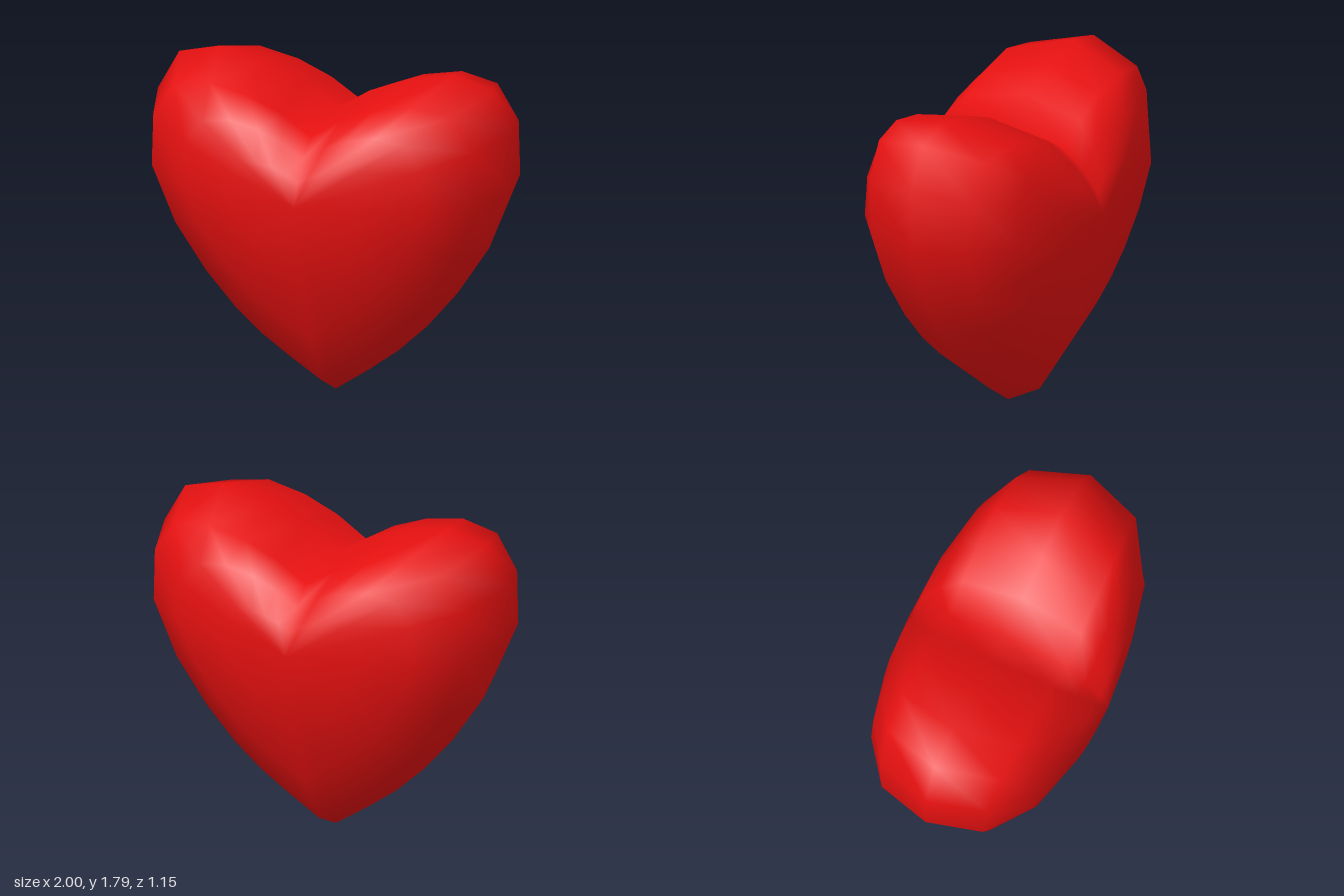
import * as THREE from 'three';

// Right half of the rim outline, from the cleft clockwise to the tip
const HALF = [
  [0, 1.53], [0.19, 1.65], [0.41, 1.74], [0.66, 1.79], [0.88, 1.735], [1, 1.52], [0.995, 1.2],
  [0.86, 0.87], [0.68, 0.6], [0.51, 0.4], [0.35, 0.25], [0.19, 0.13], [0, 0],
];
const CENTRE_Y = 1.15;
const DEPTH = 0.575;

// Cross-sections as [scale towards the rim, depth], from the inner ring to the rim
const LOBE = [[0.33, 0.535], [0.62, 0.45], [0.86, 0.34], [1, 0]];
const SIDE = [[0.41, 0.525], [0.69, 0.46], [0.92, 0.29], [1, 0]];
const TIP = [[0.33, 0.515], [0.66, 0.37], [0.913, 0.19], [1, 0]];

// Blend the cross-sections around the outline: lobe, then side, then tip
function section(k, ring) {
  const [from, to, t] = k <= 6
    ? [LOBE, SIDE, Math.max(0, (k - 3) / 3)]
    : [SIDE, TIP, (k - 6) / 6];
  return [0, 1].map((i) => THREE.MathUtils.lerp(from[ring][i], to[ring][i], t));
}

function heartGeometry() {
  const count = 2 * (HALF.length - 1);
  const positions = [0, CENTRE_Y, DEPTH];
  const index = [];

  // Rings from the front centre, over the rim, to the back centre
  const rings = [[0, 1], [1, 1], [2, 1], [3, 1], [2, -1], [1, -1], [0, -1]];
  for (const [ring, zSign] of rings) {
    for (let j = 0; j < count; j++) {
      const k = j < HALF.length ? j : count - j;
      const xSign = j < HALF.length ? 1 : -1;
      const [s, z] = section(k, ring);
      positions.push(xSign * HALF[k][0] * s, CENTRE_Y + (HALF[k][1] - CENTRE_Y) * s, zSign * z);
    }
  }
  const back = positions.length / 3;
  positions.push(0, CENTRE_Y, -DEPTH);

  const at = (r, j) => 1 + r * count + (j % count);
  for (let j = 0; j < count; j++) {
    index.push(0, at(0, j + 1), at(0, j));
    for (let r = 0; r < rings.length - 1; r++) {
      const a = at(r, j), b = at(r, j + 1), c = at(r + 1, j), d = at(r + 1, j + 1);
      index.push(a, b, d, a, d, c);
    }
    index.push(back, at(rings.length - 1, j), at(rings.length - 1, j + 1));
  }

  const geometry = new THREE.BufferGeometry();
  geometry.setAttribute('position', new THREE.Float32BufferAttribute(positions, 3));
  geometry.setIndex(index);
  geometry.computeVertexNormals();
  return geometry;
}

export function createModel() {
  const red = new THREE.MeshStandardMaterial({ color: 0xe51010 });
  red.name = 'red';

  const heart = new THREE.Mesh(heartGeometry(), red);
  heart.name = 'heart';

  const model = new THREE.Group();
  model.name = 'heartModel';
  model.add(heart);
  return model;
}
